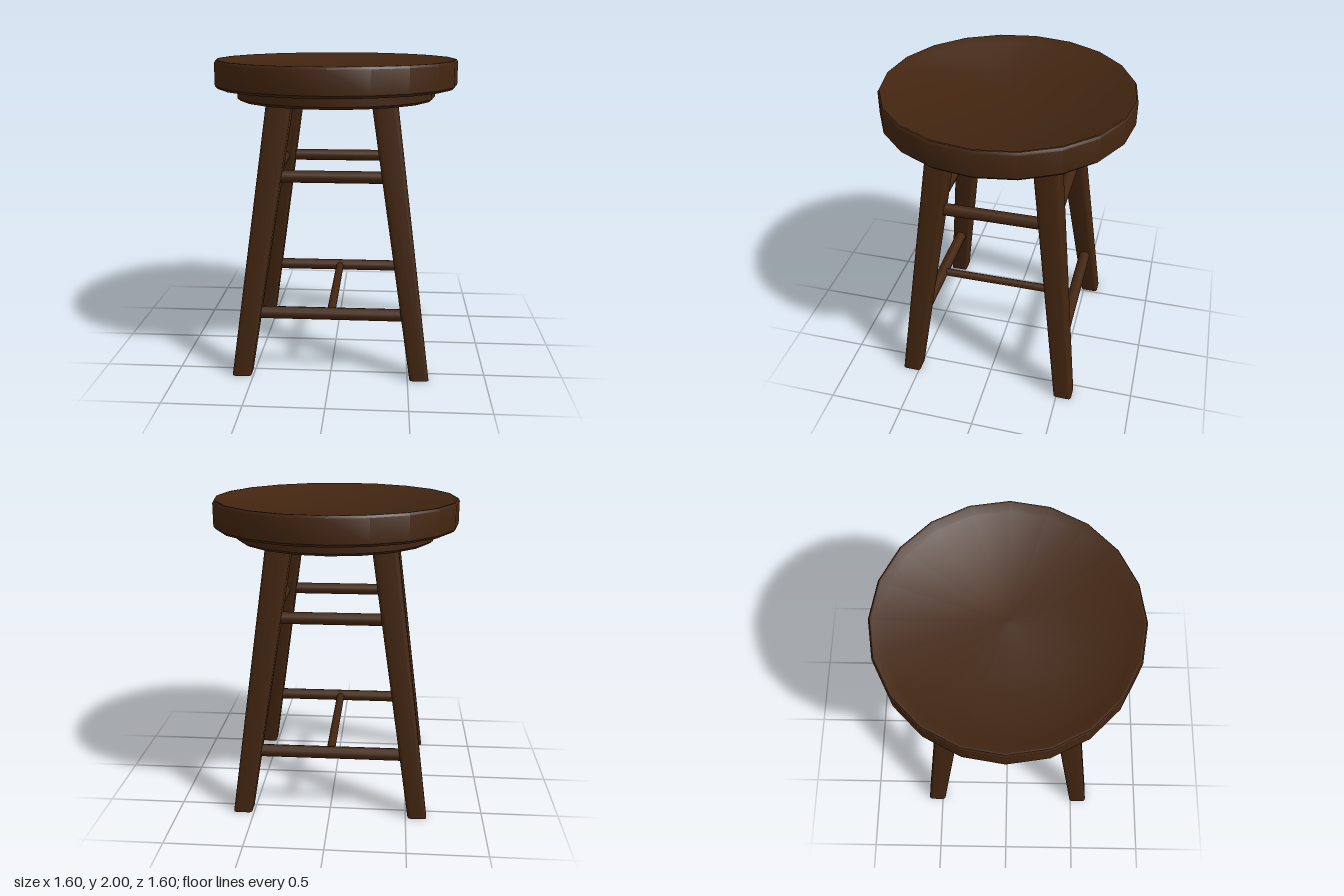
import * as THREE from 'three';
import { toCreasedNormals } from 'three/addons/utils/BufferGeometryUtils.js';

// Leg centre line: floor point to the underside of the seat
const LEG_TOP = 1.78, BOTTOM = [0.575, 0.548], TOP = [0.325, 0.325], Z_SHIFT = 0.006;
const legAt = (y) => {
  const t = y / LEG_TOP;
  return [0, 1].map((i) => THREE.MathUtils.lerp(BOTTOM[i], TOP[i], t));
};

// Rounded square section, tapered and leaned outwards
function legGeometry(sx, sz) {
  const h = 0.5, r = 0.17, s = new THREE.Shape();
  [[1, 1], [-1, 1], [-1, -1], [1, -1]].forEach(([cx, cy], i) => {
    s.absarc(cx * (h - r), cy * (h - r), r, i * Math.PI / 2, (i + 1) * Math.PI / 2, false);
  });
  const g = new THREE.ExtrudeGeometry(s, { depth: LEG_TOP, bevelEnabled: false, curveSegments: 2 });
  g.rotateX(-Math.PI / 2);
  const p = g.attributes.position;
  for (let i = 0; i < p.count; i++) {
    const y = p.getY(i), [x, z] = legAt(y);
    const w = THREE.MathUtils.lerp(0.123, 0.164, y / LEG_TOP);
    p.setXYZ(i, p.getX(i) * w + sx * x, y, p.getZ(i) * w + sz * z + Z_SHIFT);
  }
  return toCreasedNormals(g, 0.9);
}

export function createModel() {
  const model = new THREE.Group();
  model.name = 'stool';
  const wood = new THREE.MeshStandardMaterial({ color: 0x422510 });
  wood.name = 'dark brown wood';

  const add = (name, geometry) => {
    const mesh = new THREE.Mesh(geometry, wood);
    mesh.name = name;
    model.add(mesh);
    return mesh;
  };
  const turned = (points) => toCreasedNormals(
    new THREE.LatheGeometry(points.map(([x, y]) => new THREE.Vector2(x, y)), 20), 0.6);
  const rod = (name, a, b, radius) => {
    const from = new THREE.Vector3(...a), to = new THREE.Vector3(...b);
    const mesh = add(name, new THREE.CylinderGeometry(radius, radius, from.distanceTo(to), 12));
    mesh.position.copy(from).add(to).multiplyScalar(0.5);
    mesh.quaternion.setFromUnitVectors(new THREE.Vector3(0, 1, 0), to.sub(from).normalize());
  };

  // Seat with a raised lip around a shallow dish
  add('seat', turned([
    [0, 1.82], [0.783, 1.82], [0.8, 1.837], [0.8, 1.985], [0.79, 2],
    [0.777, 2], [0.737, 1.973], [0, 1.973],
  ]));
  // Smaller disc under the seat
  add('seatBase', turned([[0, 1.74], [0.638, 1.74], [0.658, 1.757], [0.658, 1.825], [0, 1.825]]));

  // Four splayed legs
  for (const sx of [-1, 1]) for (const sz of [-1, 1]) {
    add((sz > 0 ? 'front' : 'back') + (sx > 0 ? 'Left' : 'Right') + 'Leg', legGeometry(sx, sz));
  }

  // Upper rails on all four sides, lower rails at front and back
  const upper = 1.285, lower = 0.405;
  const [ux, uz] = legAt(upper), [lx, lz] = legAt(lower);
  for (const s of [-1, 1]) {
    const end = s > 0 ? 'front' : 'back', z = s * uz + Z_SHIFT, zl = s * lz + Z_SHIFT;
    rod(end + 'UpperRail', [-ux, upper, z], [ux, upper, z], 0.04);
    rod((s > 0 ? 'left' : 'right') + 'UpperRail',
      [s * ux, upper, -uz + Z_SHIFT], [s * ux, upper, uz + Z_SHIFT], 0.04);
    rod(end + 'LowerRail', [-lx, lower, zl], [lx, lower, zl], 0.04);
  }
  // Thin bar joining the two lower rails
  rod('crossBar', [0, lower, -lz + Z_SHIFT], [0, lower, lz + Z_SHIFT], 0.028);

  return model;
}
